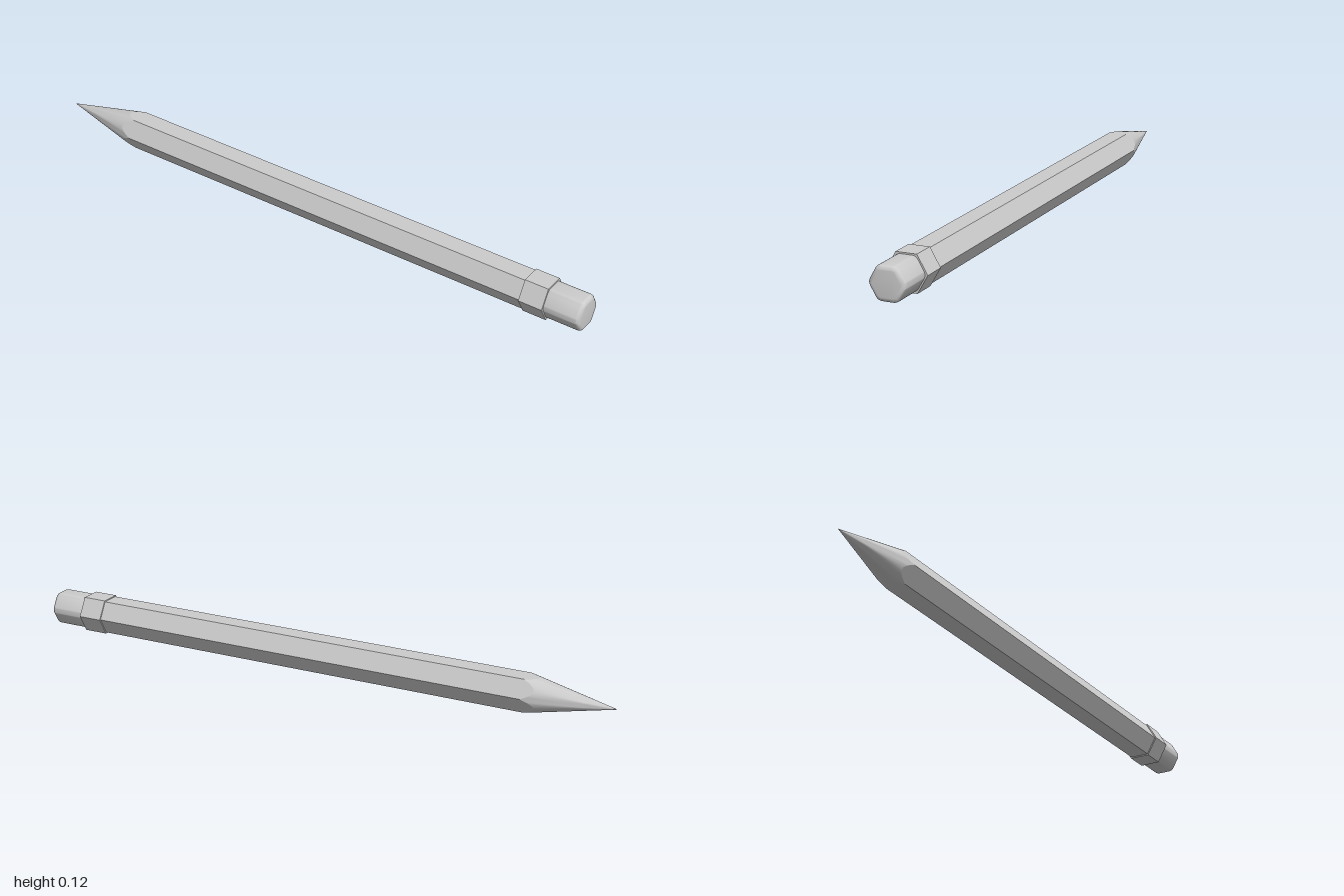
import * as THREE from 'three';
import { toCreasedNormals } from 'three/addons/utils/BufferGeometryUtils.js';

const CENTER_Y = 0.058;
const BODY_R = 0.0625; // corner radius of the hexagonal body
const TIP_Z = -1;
const SLOPE = BODY_R / 0.29; // sharpened cone: radius per unit of length
const SEGMENTS = 48;

// Radius of a hexagon (corners on +-x) in direction a
function hexRadius(a) {
  const third = Math.PI / 3;
  const local = ((a % third) + third) % third - third / 2;
  return BODY_R * Math.cos(third / 2) / Math.cos(local);
}

// Skin rings running from +z to -z; ring(a) returns [radius, z]
function loft(rings) {
  const positions = [];
  const index = [];
  const stride = SEGMENTS + 1;
  rings.forEach((ring, i) => {
    for (let j = 0; j <= SEGMENTS; j++) {
      const a = ((j % SEGMENTS) / SEGMENTS) * Math.PI * 2;
      const [r, z] = ring(a);
      positions.push(r * Math.cos(a), r * Math.sin(a), z);
      if (i < rings.length - 1 && j < SEGMENTS) {
        const p = i * stride + j;
        const q = p + stride;
        index.push(p, q, p + 1);
        if (i < rings.length - 2 || ring.notTip) index.push(p + 1, q, q + 1);
        else if (rings[i + 1](a)[0] > 0) index.push(p + 1, q, q + 1);
      }
    }
  });
  const geometry = new THREE.BufferGeometry();
  geometry.setAttribute('position', new THREE.Float32BufferAttribute(positions, 3));
  geometry.setIndex(index);
  return toCreasedNormals(geometry, 0.6);
}

// Hexagon outline with rounded corners
function roundedHex(radius, cut) {
  const shape = new THREE.Shape();
  const corner = (k) => new THREE.Vector2(Math.cos(k * Math.PI / 3), Math.sin(k * Math.PI / 3)).multiplyScalar(radius);
  for (let k = 0; k < 6; k++) {
    const c = corner(k);
    const start = c.clone().lerp(corner(k - 1), cut);
    const end = c.clone().lerp(corner(k + 1), cut);
    if (k === 0) shape.moveTo(start.x, start.y);
    else shape.lineTo(start.x, start.y);
    shape.quadraticCurveTo(c.x, c.y, end.x, end.y);
  }
  shape.closePath();
  return shape;
}

export function createModel() {
  const pencil = new THREE.Group();
  pencil.name = 'pencil';
  const material = new THREE.MeshStandardMaterial({ color: 0xcccccc });

  const add = (name, geometry) => {
    const mesh = new THREE.Mesh(geometry, material);
    mesh.name = name;
    mesh.position.y = CENTER_Y;
    pencil.add(mesh);
  };

  // Scalloped line where the cone cuts the hexagonal body
  const scallop = (a) => [hexRadius(a), TIP_Z + hexRadius(a) / SLOPE];
  const coneRing = (z) => () => [(z - TIP_Z) * SLOPE, z];

  add('body', loft([(a) => [hexRadius(a), 0.84], scallop]));
  add('sharpenedWood', loft([scallop, coneRing(-0.9)]));
  add('leadTip', loft([coneRing(-0.9), coneRing(TIP_Z)]));

  // Ferrule: a slightly larger hexagonal band
  const ferrule = new THREE.CylinderGeometry(0.067, 0.067, 0.08, 6, 1, false, Math.PI / 2);
  ferrule.rotateX(Math.PI / 2);
  ferrule.translate(0, 0, 0.84);
  add('ferrule', toCreasedNormals(ferrule, 0.6));

  // Eraser with rounded corners and a rounded end
  const bevel = 0.014;
  const eraser = new THREE.ExtrudeGeometry(roundedHex(0.0615 - bevel * 1.155, 0.12), {
    depth: 0.14 - bevel * 2, bevelEnabled: true, bevelThickness: bevel,
    bevelSize: bevel, bevelSegments: 5, curveSegments: 5,
  });
  eraser.translate(0, 0, 0.86 + bevel);
  add('eraser', toCreasedNormals(eraser, 0.6));

  return pencil;
}
